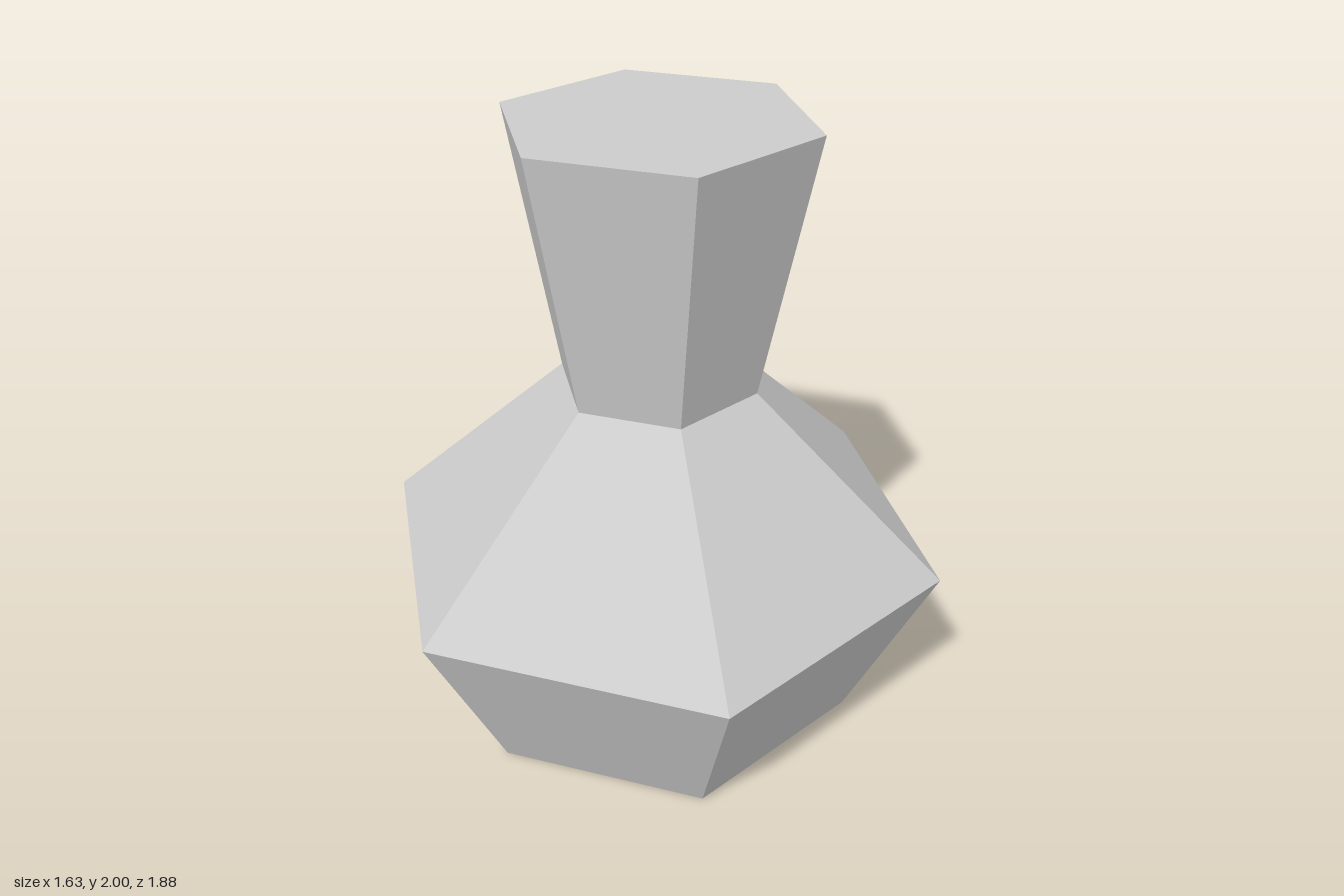
import * as THREE from 'three';

const SIDES = 6;

// Six-sided part turned from a bottom-to-top profile of [radius, height]; corners point to +z and -z
function turned(name, profile, material) {
  const points = profile.map(([r, y]) => new THREE.Vector2(r, y));
  const geometry = new THREE.LatheGeometry(points, SIDES).toNonIndexed();
  geometry.computeVertexNormals();
  const mesh = new THREE.Mesh(geometry, material);
  mesh.name = name;
  return mesh;
}

export function createModel() {
  const group = new THREE.Group();
  group.name = 'vase';
  const grey = new THREE.MeshStandardMaterial({ color: 0xcccccc, flatShading: true });
  grey.name = 'light grey';

  group.add(
    // Flared base with closed underside
    turned('base', [[0, 0], [0.667, 0], [0.942, 0.583]], grey),
    // Shoulder sloping in to the neck
    turned('shoulder', [[0.942, 0.583], [0.322, 1.16]], grey),
    // Neck widening to a closed flat top
    turned('neck', [[0.322, 1.16], [0.487, 2], [0, 2]], grey),
  );
  return group;
}
